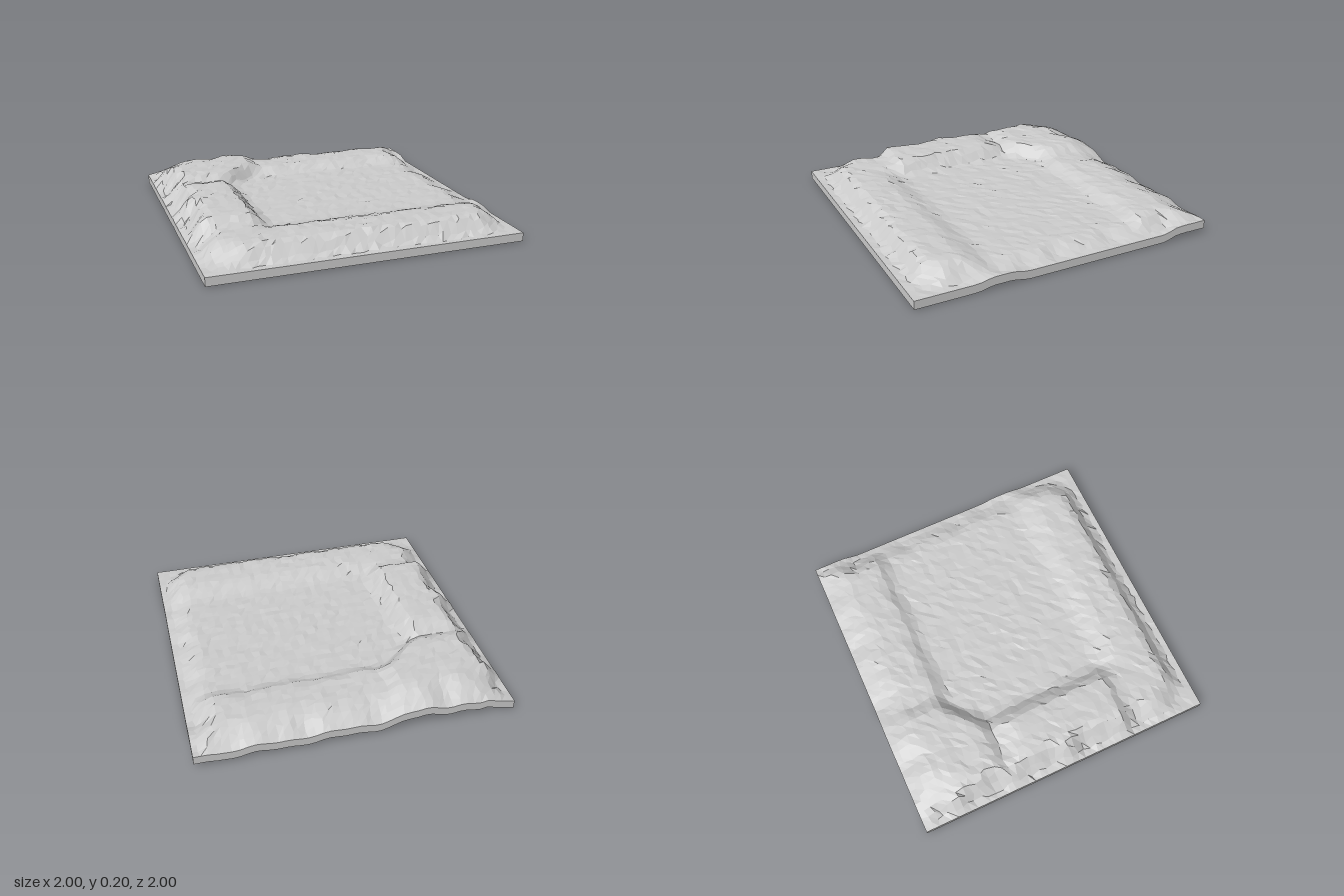
import * as THREE from 'three';

const SEG = 44;
const THICK = 0.055;
const RIM = 0.06;
const FLOOR = 0.11;

// Smooth 0..1 ramp from a to b (a may be larger than b)
function ramp(a, b, v) {
  const t = Math.min(1, Math.max(0, (v - a) / (b - a)));
  return t * t * (3 - 2 * t);
}

// Repeatable noise in -1..1 for a grid node
function hash(i, j, k) {
  const s = Math.sin(i * 127.1 + j * 311.7 + k * 74.7) * 43758.5453;
  return 2 * (s - Math.floor(s)) - 1;
}

// Height of the ground: banks around a shallow floor, falling off to the rim
function height(x, z) {
  const wobbleZ = 0.02 * Math.sin(z * 17 + 1) + 0.012 * Math.sin(z * 31);
  const wobbleX = 0.02 * Math.sin(x * 13) + 0.012 * Math.sin(x * 29 + 2);

  // Outer slopes, with cut corners
  const outer = Math.min(
    ramp(0.99, 0.82, x + wobbleZ * 0.7),
    ramp(-0.99, -0.83, x + wobbleZ),
    ramp(0.95, 0.83, z),
    ramp(-1.1, -0.8, z + wobbleX),
    ramp(1.82, 1.53, z - x),
    ramp(1.82, 1.55, z + x),
    ramp(-2.05, -1.45, z + x)
  );

  // Shallow floor, open towards the right rim
  const basin = Math.min(
    ramp(-0.6, -0.47, x),
    ramp(-0.62, -0.5, z + wobbleX * 0.6),
    ramp(0.66, 0.45, z),
    ramp(-0.97, -0.82, x + z)
  );

  // Bank crest: higher on the left and in the back left corner
  const cornerMound = ramp(-0.22, -0.33, x) * ramp(-0.33, -0.45, z);
  const leftBank = ramp(-0.45, -0.5, x) * ramp(-0.39, -0.2, z) * ramp(0.53, 0.44, z);
  const crest = 0.157 + 0.045 * Math.max(cornerMound, leftBank);

  // Lifted stretches of the right and back rims
  const rightRim = ramp(0.85, 1, x) * (0.02 * ramp(0.62, 0.5, z) * ramp(0.28, 0.4, z) +
    0.03 * ramp(-0.68, -0.8, z));
  const backRim = ramp(-0.85, -1, z) * 0.025 * ramp(-0.8, -0.6, x) * ramp(-0.1, -0.3, x);

  const level = crest + (FLOOR - crest) * basin;
  return RIM + (level - RIM) * outer + rightRim + backRim;
}

export function createModel() {
  const group = new THREE.Group();
  const geo = new THREE.BoxGeometry(2, 1, 2, SEG, 1, SEG);
  const pos = geo.attributes.position;

  // Drape the slab over the ground shape; the underside follows the top
  for (let n = 0; n < pos.count; n++) {
    let x = pos.getX(n);
    let z = pos.getZ(n);
    const top = pos.getY(n) > 0;
    const i = Math.round((x + 1) * SEG / 2);
    const j = Math.round((z + 1) * SEG / 2);
    const inside = i > 0 && j > 0 && i < SEG && j < SEG;
    if (inside) {
      x += hash(i, j, 1) * 0.013;
      z += hash(i, j, 2) * 0.013;
    }
    const rough = inside ? 0.004 * hash(i, j, 3) : 0;
    const y = height(x, z) + rough;
    pos.setXYZ(n, x, top ? y : Math.max(0, y - THICK), z);
  }
  geo.computeVertexNormals();

  const mat = new THREE.MeshStandardMaterial({ color: 0xcccccc, flatShading: true });
  const ground = new THREE.Mesh(geo, mat);
  ground.name = 'groundTile';
  group.add(ground);
  return group;
}
